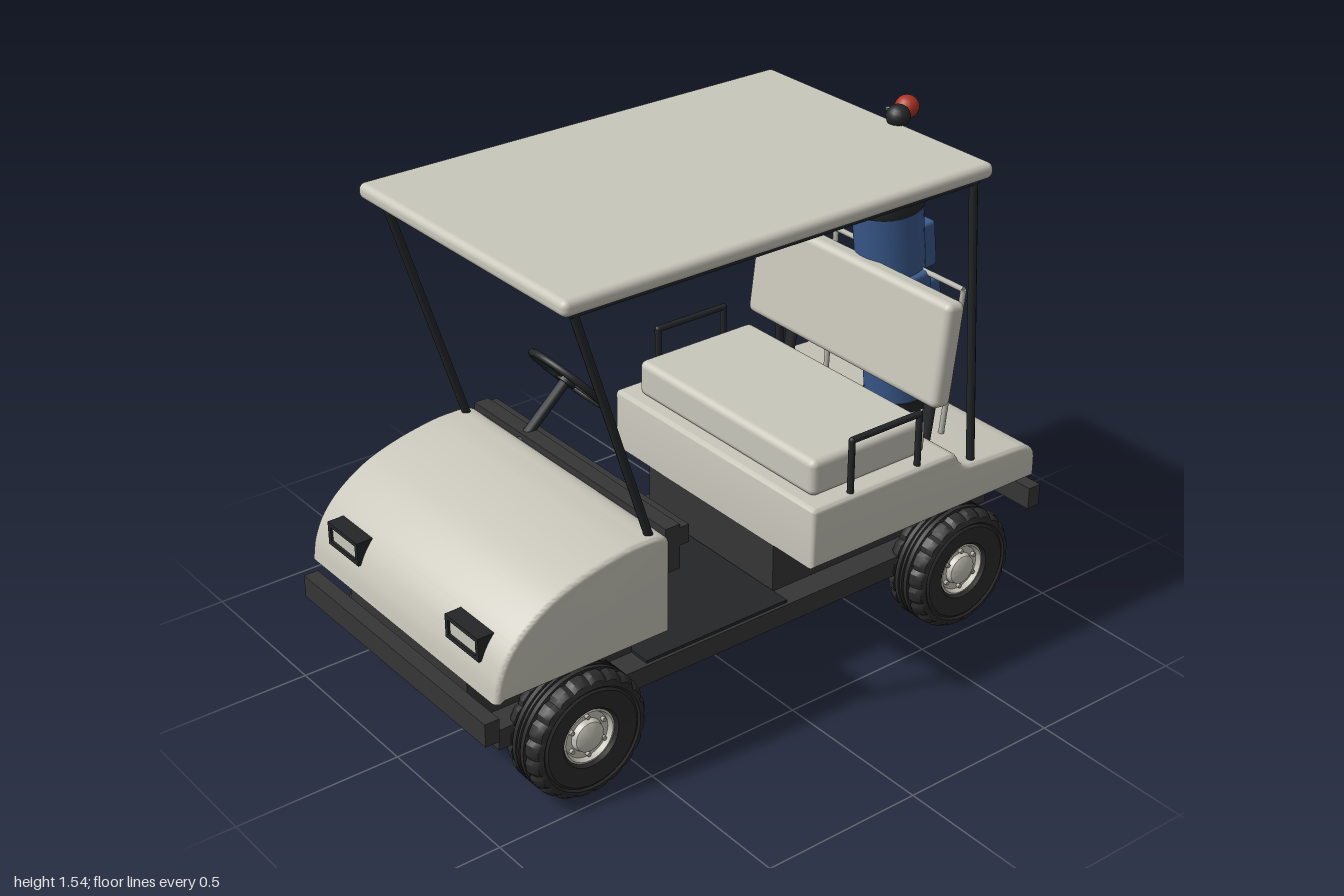
import * as THREE from 'three';
import { toCreasedNormals } from 'three/addons/utils/BufferGeometryUtils.js';
import { RoundedBoxGeometry } from 'three/addons/geometries/RoundedBoxGeometry.js';

const mat = (name, color) => Object.assign(new THREE.MeshStandardMaterial({ color }), { name });
const V = (x, y, z) => new THREE.Vector3(x, y, z);

export function createModel() {
  const cream = mat('cream body', 0xc9c7bb), dark = mat('dark trim', 0x363636);
  const black = mat('black frame', 0x242628), rubber = mat('tyre rubber', 0x2b2b2b);
  const blue = mat('blue fabric', 0x3a5a8e), red = mat('red cover', 0xa83222);
  const metal = mat('metal', 0xb4b2a8);
  const model = new THREE.Group();
  model.name = 'golfCart';

  const add = (name, geo, m, parent = model) => {
    const mesh = new THREE.Mesh(geo, m);
    mesh.name = name;
    parent.add(mesh);
    return mesh;
  };
  // box given by its ranges; r > 0 rounds the edges
  const box = (name, m, [x0, x1], [y0, y1], [z0, z1], r = 0, parent = model) => {
    const s = [x1 - x0, y1 - y0, z1 - z0];
    const mesh = add(name, r ? new RoundedBoxGeometry(...s, 3, r) : new THREE.BoxGeometry(...s), m, parent);
    mesh.position.set((x0 + x1) / 2, (y0 + y1) / 2, (z0 + z1) / 2);
    return mesh;
  };
  const rod = (name, m, a, b, r, parent = model, sides = 10) => {
    const d = b.clone().sub(a);
    const mesh = add(name, new THREE.CylinderGeometry(r, r, d.length(), sides), m, parent);
    mesh.position.copy(a).add(b).multiplyScalar(0.5);
    mesh.quaternion.setFromUnitVectors(V(0, 1, 0), d.normalize());
    return mesh;
  };
  // side profile in (z, y) extruded across the width
  const sideExtrude = (name, shape, width, bevel) => {
    const g = new THREE.ExtrudeGeometry(shape, {
      depth: width - 2 * bevel, bevelThickness: bevel, bevelSize: bevel,
      bevelOffset: -bevel, bevelSegments: 3, curveSegments: 12,
    });
    g.translate(0, 0, -(width - 2 * bevel) / 2).rotateY(-Math.PI / 2);
    return add(name, toCreasedNormals(g, 0.6), cream);
  };

  // chassis
  box('chassis', dark, [-0.37, 0.37], [0.195, 0.257], [-0.905, 0.905]);
  box('floorMat', black, [-0.36, 0.36], [0.257, 0.266], [-0.09, 0.41]);
  box('frontBase', dark, [-0.29, 0.29], [0.25, 0.412], [0.41, 0.945]);
  box('rearBase', dark, [-0.29, 0.29], [0.25, 0.412], [-0.94, -0.095]);
  for (const s of [1, -1]) {
    const n = s > 0 ? 'front' : 'rear';
    const z = [s * 0.955, s].sort((a, b) => a - b);
    box(n + 'Bumper', dark, [-0.455, 0.455], [0.295, 0.365], z);
    box(n + 'BumperMount', dark, [-0.2, 0.2], [0.31, 0.35], [s * 0.95 - 0.012, s * 0.95 + 0.012]);
  }

  // front cowl
  const cowl = new THREE.Shape();
  cowl.moveTo(0.405, 0.41);
  cowl.lineTo(0.967, 0.41);
  cowl.splineThru([[0.955, 0.475], [0.925, 0.54], [0.87, 0.6], [0.78, 0.658], [0.67, 0.695], [0.55, 0.717], [0.47, 0.72]]
    .map(p => new THREE.Vector2(...p)));
  cowl.quadraticCurveTo(0.41, 0.72, 0.405, 0.69);
  sideExtrude('frontCowl', cowl, 0.92, 0.014);

  // rear body
  const rear = new THREE.Shape();
  rear.moveTo(-0.095, 0.41);
  rear.lineTo(-0.095, 0.585);
  rear.quadraticCurveTo(-0.095, 0.6, -0.11, 0.6);
  rear.lineTo(-0.61, 0.6);
  rear.bezierCurveTo(-0.66, 0.6, -0.63, 0.545, -0.7, 0.54);
  rear.lineTo(-0.9, 0.53);
  rear.quadraticCurveTo(-0.965, 0.52, -0.965, 0.47);
  rear.lineTo(-0.965, 0.41);
  sideExtrude('rearBody', rear, 0.92, 0.014);

  // headlights: four frame bars around a lens
  for (const s of [1, -1]) {
    const g = new THREE.Group();
    g.name = s > 0 ? 'leftHeadlight' : 'rightHeadlight';
    g.position.x = s * 0.295;
    model.add(g);
    for (const y of [0.494, 0.552]) box('headlightFrame', black, [-0.077, 0.077], [y, y + 0.013], [0.89, 0.957], 0, g);
    for (const x of [-0.077, 0.064]) box('headlightFrame', black, [x, x + 0.013], [0.494, 0.565], [0.89, 0.957], 0, g);
    box('headlightLens', cream, [-0.065, 0.065], [0.505, 0.555], [0.89, 0.95], 0, g);
  }

  // dashboard
  box('dashboard', dark, [-0.45, 0.45], [0.59, 0.726], [0.365, 0.412]);
  box('dashLip', dark, [-0.45, 0.45], [0.66, 0.715], [0.335, 0.37]);
  box('dashSwitch', black, [-0.03, 0.03], [0.61, 0.67], [0.345, 0.37]);

  // steering wheel
  rod('steeringColumn', black, V(-0.22, 0.69, 0.415), V(-0.22, 0.84, 0.25), 0.016);
  const steering = new THREE.Group();
  steering.name = 'steeringWheel';
  steering.position.set(-0.22, 0.842, 0.243);
  steering.rotation.x = 0.73;
  model.add(steering);
  add('steeringRim', new THREE.TorusGeometry(0.126, 0.011, 10, 40), black, steering);
  add('steeringHub', new THREE.CylinderGeometry(0.03, 0.034, 0.03, 20).rotateX(Math.PI / 2), black, steering);
  for (let i = 0; i < 3; i++) {
    const a = Math.PI / 2 + i * Math.PI * 2 / 3;
    rod('steeringSpoke', black, V(0, 0, 0), V(Math.cos(a) * 0.124, Math.sin(a) * 0.124, 0), 0.009, steering);
  }

  // seat
  box('seatCushion', cream, [-0.4, 0.4], [0.595, 0.71], [-0.57, -0.14], 0.022);
  const back = box('seatBack', cream, [-0.42, 0.42], [0.733, 1.055], [-0.662, -0.592], 0.022);
  back.rotation.x = -0.13;
  for (const s of [1, -1]) {
    const side = s > 0 ? 'left' : 'right';
    const seatBar = rod(side + 'SeatBackSupport', black, V(s * 0.31, 0.58, -0.648), V(s * 0.31, 0.83, -0.685), 0.014);
    seatBar.scale.x = 1.6;
    // armrest hoop
    const pts = [V(s * 0.44, 0.59, -0.245), V(s * 0.44, 0.765, -0.245), V(s * 0.44, 0.765, -0.498), V(s * 0.44, 0.59, -0.498)];
    for (let i = 0; i < 3; i++) rod(side + 'Armrest', black, pts[i], pts[i + 1], 0.01);
    for (const p of [pts[1], pts[2]]) add(side + 'ArmrestCorner', new THREE.SphereGeometry(0.01, 10, 8), black).position.copy(p);
    // roof posts
    rod(side + 'FrontPost', black, V(s * 0.43, 0.7, 0.448), V(s * 0.43, 1.435, 0.68), 0.0125);
    rod(side + 'RearPost', black, V(s * 0.43, 0.53, -0.722), V(s * 0.43, 1.435, -0.665), 0.0125);
  }

  // roof
  box('roof', cream, [-0.475, 0.475], [1.438, 1.485], [-0.702, 0.735], 0.02);
  box('roofLining', black, [-0.44, 0.44], [1.418, 1.442], [-0.68, 0.69]);

  // wheels
  const P = a => a.map(p => new THREE.Vector2(...p));
  const half = [[0.08, 0.055], [0.09, 0.068], [0.145, 0.075], [0.152, 0.07], [0.158, 0.075], [0.175, 0.07], [0.186, 0.056],
    [0.19, 0.04], [0.19, 0.032], [0.184, 0.031], [0.184, 0.026], [0.19, 0.025], [0.19, 0.011], [0.184, 0.01], [0.184, 0.005], [0.19, 0.004]];
  const profile = P([...half.map(([r, y]) => [r, -y]), ...half.slice().reverse()]);
  const tyreGeo = new THREE.LatheGeometry(profile, 80);
  const pos = tyreGeo.attributes.position, n = profile.length;
  for (let i = 0; i < pos.count; i++) { // notched tread shoulders
    const p = profile[i % n], seg = Math.floor(i / n) % 80;
    if (seg % 4 === 0 && p.x > 0.17 && Math.abs(p.y) > 0.03) {
      const k = (p.x - 0.007) / p.x;
      pos.setXYZ(i, pos.getX(i) * k, pos.getY(i), pos.getZ(i) * k);
    }
  }
  const tyre = toCreasedNormals(tyreGeo, 0.5);
  const hub = toCreasedNormals(new THREE.LatheGeometry(P([[0, -0.058], [0.084, -0.058], [0.084, 0.058], [0.077, 0.06],
    [0.07, 0.046], [0.05, 0.046], [0.045, 0.062], [0.034, 0.068], [0, 0.07]]), 32), 0.5);
  const nut = new THREE.CylinderGeometry(0.007, 0.007, 0.014, 6);
  for (const s of [1, -1]) for (const z of [0.68, -0.68]) {
    const w = new THREE.Group();
    w.name = (z > 0 ? 'front' : 'rear') + (s > 0 ? 'Left' : 'Right') + 'Wheel';
    w.position.set(s * 0.405, 0.192, z);
    w.rotation.z = -s * Math.PI / 2;
    model.add(w);
    add('tyre', tyre, rubber, w);
    add('hub', hub, cream, w);
    for (let i = 0; i < 6; i++) {
      const a = i * Math.PI / 3;
      add('wheelNut', nut, metal, w).position.set(Math.cos(a) * 0.06, 0.05, Math.sin(a) * 0.06);
    }
  }

  // bag holder
  const holder = [V(0.26, 0.53, -0.765), V(0.26, 1.0, -0.806), V(-0.26, 1.0, -0.806), V(-0.26, 0.53, -0.765)]
    .map((p, i) => (i === 1 || i === 2 ? p.setX(p.x * 1.07) : p));
  for (let i = 0; i < 3; i++) rod('bagHolder', metal, holder[i], holder[i + 1], 0.009);

  // golf bag, leaning forward
  const bag = new THREE.Group();
  bag.name = 'golfBag';
  bag.position.set(0.015, 0.535, -0.815);
  bag.rotation.x = 0.115;
  model.add(bag);
  const tube = (name, m, r0, r1, y0, y1) =>
    add(name, new THREE.CylinderGeometry(r1, r0, y1 - y0, 32), m, bag).position.set(0, (y0 + y1) / 2, 0);
  tube('bagBase', black, 0.1, 0.104, 0, 0.04);
  tube('bagBody', blue, 0.1, 0.106, 0.04, 0.67);
  add('bagRim', new THREE.LatheGeometry(P([[0.107, 0.665], [0.112, 0.675], [0.112, 0.715], [0.106, 0.722],
    [0.095, 0.715], [0.092, 0.68], [0, 0.68]]), 32), black, bag);
  box('upperPocket', blue, [-0.055, 0.055], [0.43, 0.58], [-0.138, -0.06], 0.012, bag);
  box('lowerPocket', blue, [-0.068, 0.068], [0.11, 0.4], [-0.138, -0.06], 0.012, bag);
  for (const s of [1, -1])
    box('sidePocket', blue, [s * 0.09 - 0.03, s * 0.09 + 0.03], [0.2, 0.47], [-0.055, 0.045], 0.012, bag);

  // clubs
  const covers = [[red, V(0.045, 1.2, -0.74), V(0.06, 1.508, -0.756)], [black, V(0.075, 1.2, -0.71), V(0.09, 1.503, -0.695)]];
  for (const [m, a, b] of covers) {
    rod('woodShaft', metal, a, b, 0.005, model, 8);
    const head = add('headCover', new THREE.SphereGeometry(0.036, 16, 12), m);
    head.position.copy(b);
    head.scale.y = 0.95;
  }
  const irons = [[V(-0.035, 1.2, -0.72), V(-0.05, 1.4, -0.745), 0.3], [V(0.0, 1.2, -0.75), V(-0.008, 1.465, -0.785), 1.4],
    [V(0.02, 1.2, -0.68), V(0.015, 1.4, -0.645), -1.2]];
  for (const [a, b, turn] of irons) {
    rod('ironShaft', metal, a, b, 0.004, model, 8);
    const blade = new THREE.Shape(P([[0.006, -0.012], [-0.03, -0.004], [-0.045, 0.022], [-0.02, 0.02], [0.006, 0.008]]));
    const head = add('ironHead', new THREE.ExtrudeGeometry(blade, { depth: 0.01, bevelEnabled: false }), metal);
    head.position.copy(b);
    head.rotation.y = turn;
  }
  return model;
}
